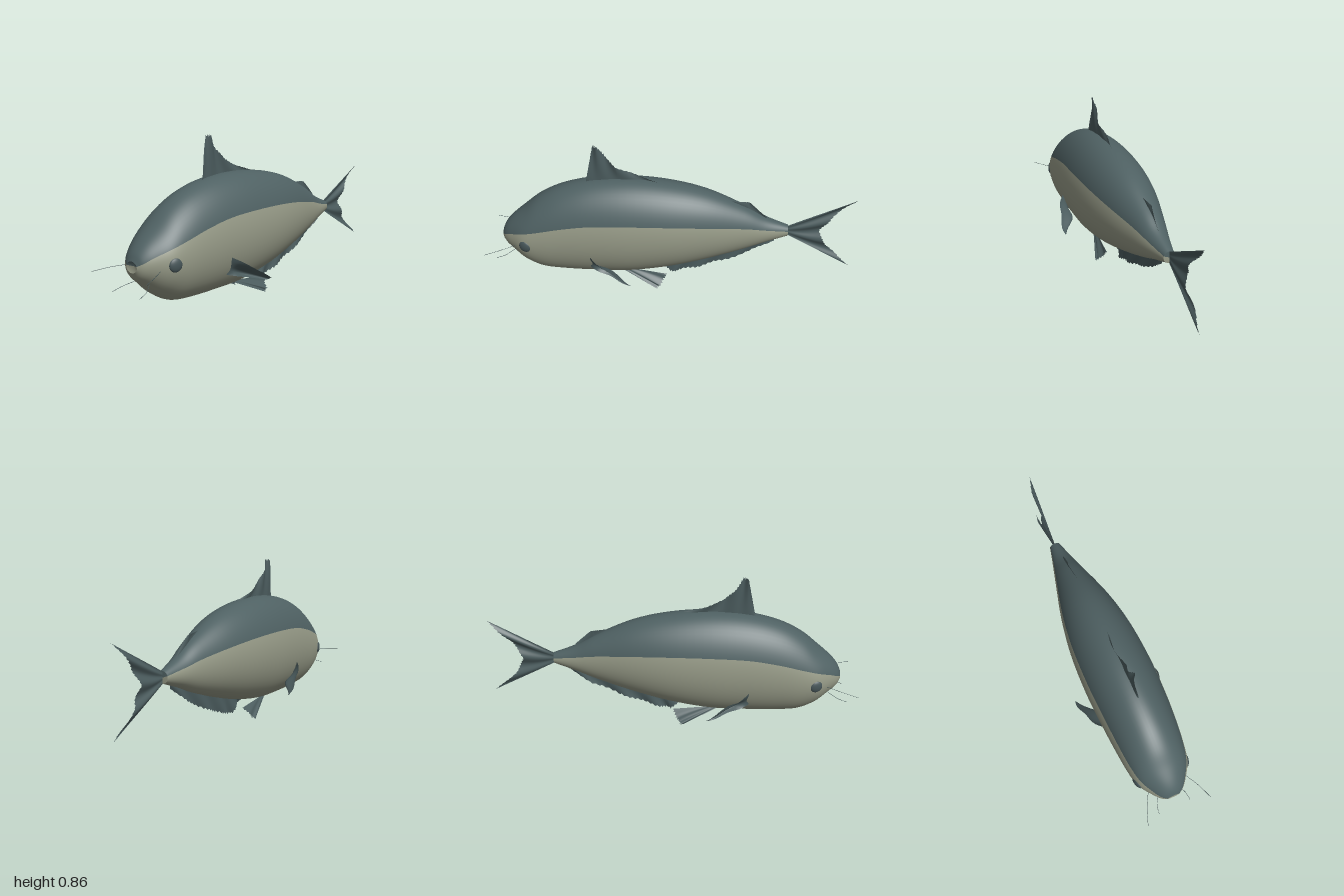
import * as THREE from 'three';

const flat = (name, color) => {
  const m = new THREE.MeshStandardMaterial({ color });
  m.name = name;
  return m;
};
const V = (x, y, z = 0) => new THREE.Vector3(x, y, z);

// Indexed surface from a point function on a rows x cols grid
function grid(rows, cols, point) {
  const pos = [], idx = [];
  for (let i = 0; i <= rows; i++) {
    for (let j = 0; j <= cols; j++) pos.push(...point(i / rows, j / cols, i, j).toArray());
  }
  for (let i = 0; i < rows; i++) {
    for (let j = 0; j < cols; j++) {
      const a = i * (cols + 1) + j, b = a + cols + 1;
      idx.push(a, b, a + 1, b, b + 1, a + 1);
    }
  }
  const g = new THREE.BufferGeometry();
  g.setAttribute('position', new THREE.Float32BufferAttribute(pos, 3));
  g.setIndex(idx);
  g.computeVertexNormals();
  return g;
}

// Straight-sided path through points, equal t per segment
function along(pts, t) {
  const f = t * (pts.length - 1), i = Math.min(Math.floor(f), pts.length - 2);
  return pts[i].clone().lerp(pts[i + 1], f - i);
}

// Body stations: x, top, bottom, colour line height, half width
const STATIONS = [
  [-0.92, 0.33, 0.275, 0.31, 0.035], [-0.9, 0.37, 0.24, 0.325, 0.065],
  [-0.86, 0.415, 0.205, 0.35, 0.1], [-0.79, 0.475, 0.145, 0.38, 0.145],
  [-0.7, 0.55, 0.097, 0.41, 0.165], [-0.58, 0.612, 0.083, 0.445, 0.178],
  [-0.42, 0.653, 0.08, 0.475, 0.189], [-0.22, 0.667, 0.085, 0.485, 0.194],
  [0, 0.648, 0.122, 0.48, 0.182], [0.2, 0.6, 0.175, 0.46, 0.148],
  [0.4, 0.51, 0.24, 0.425, 0.095], [0.52, 0.44, 0.288, 0.395, 0.062],
  [0.64, 0.392, 0.33, 0.37, 0.03],
];

function bodyGeometry() {
  const outline = new THREE.CatmullRomCurve3(STATIONS.map(s => V(s[0], s[1], s[2])), false, 'catmullrom');
  const sides = new THREE.CatmullRomCurve3(STATIONS.map(s => V(s[3], s[4])), false, 'catmullrom');
  const rows = 60, U = 12, L = 16, N = 2 * (U + L);
  const pos = [], back = [], belly = [];
  for (let i = 0; i <= rows; i++) {
    const o = outline.getPoint(i / rows), s = sides.getPoint(i / rows);
    const mid = (o.y + o.z) / 2, h = (o.y - o.z) / 2;
    const seam = Math.acos(THREE.MathUtils.clamp((s.x - mid) / h, -0.95, 0.95));
    for (let k = 0; k < N; k++) {
      const m = k <= U + L ? k : N - k;
      const a = m <= U ? seam * m / U : seam + (Math.PI - seam) * (m - U) / L;
      const side = k <= U + L ? 1 : -1;
      pos.push(o.x, mid + h * Math.cos(a), side * s.y * Math.sin(a));
    }
  }
  const upper = k => k < U || k >= N - U;
  for (let i = 0; i < rows; i++) {
    for (let k = 0; k < N; k++) {
      const n = (k + 1) % N, a = i * N + k, b = i * N + n, c = a + N, d = b + N;
      (upper(k) ? back : belly).push(a, b, c, b, d, c);
    }
  }
  // end caps: dented mouth and tail root
  [[0, -0.905, 0.305], [rows, 0.642, 0.36]].forEach(([row, x, y], e) => {
    const start = pos.length / 3;
    for (let k = 0; k < N; k++) pos.push(...pos.slice((row * N + k) * 3, (row * N + k) * 3 + 3));
    pos.push(x, y, 0);
    for (let k = 0; k < N; k++) {
      const a = start + k, b = start + (k + 1) % N;
      (upper(k) ? back : belly).push(start + N, ...(e ? [a, b] : [b, a]));
    }
  });
  const g = new THREE.BufferGeometry();
  g.setAttribute('position', new THREE.Float32BufferAttribute(pos, 3));
  g.setIndex([...back, ...belly]);
  g.addGroup(0, back.length, 0);
  g.addGroup(back.length, belly.length, 1);
  g.computeVertexNormals();
  return g;
}

// Fin membrane stretched from a base line to a ragged, rippled outer edge
function finGeometry(base, edge, { ripple = 0.008, waves = 3, ragged = 0.05, cols = 48 } = {}) {
  return grid(8, cols, (v, t, i, j) => {
    const reach = v * (1 - (j % 2) * ragged * v);
    const p = along(base, t).lerp(along(edge, t), reach);
    p.z += ripple * v * Math.sin(t * waves * Math.PI * 2 + v * 2);
    return p;
  });
}

export function createModel() {
  const fish = new THREE.Group();
  fish.name = 'fish';
  const backMat = flat('slate back', 0x4f6163);
  const bellyMat = flat('pale belly', 0x969a87);
  const finMat = flat('fin slate', 0x4b5c5e);
  finMat.side = THREE.DoubleSide;
  const eyeMat = flat('eye slate', 0x465558);

  const add = (name, geo, mat) => {
    const m = new THREE.Mesh(geo, mat);
    m.name = name;
    fish.add(m);
    return m;
  };

  add('body', bodyGeometry(), [backMat, bellyMat]);

  // Fins on the centre line
  add('dorsalFin', finGeometry(
    [V(-0.45, 0.63), V(-0.42, 0.64), V(-0.38, 0.64), V(-0.33, 0.645), V(-0.27, 0.65), V(-0.18, 0.65), V(-0.06, 0.645)],
    [V(-0.445, 0.65), V(-0.4, 0.868), V(-0.375, 0.868), V(-0.335, 0.8), V(-0.28, 0.74), V(-0.18, 0.695), V(-0.06, 0.655)]),
  finMat);
  add('rearDorsalFin', finGeometry(
    [V(0.33, 0.53), V(0.41, 0.49), V(0.44, 0.475), V(0.52, 0.43)],
    [V(0.33, 0.545), V(0.415, 0.538), V(0.43, 0.535), V(0.52, 0.448)], { ripple: 0.005, waves: 1 }), finMat);
  add('analFin', finGeometry(
    [V(-0.07, 0.12), V(0.02, 0.14), V(0.08, 0.155), V(0.18, 0.185), V(0.3, 0.22), V(0.44, 0.27), V(0.58, 0.32)],
    [V(-0.065, 0.105), V(0, 0.04), V(0.06, 0.05), V(0.17, 0.085), V(0.29, 0.13), V(0.44, 0.2), V(0.57, 0.29)],
    { ragged: 0.1, waves: 4 }), finMat);
  add('tailFin', finGeometry(
    [V(0.63, 0.385), V(0.63, 0.37), V(0.63, 0.36), V(0.63, 0.35), V(0.63, 0.335)],
    [V(1, 0.578), V(0.875, 0.455), V(0.815, 0.355), V(0.86, 0.26), V(1, 0.13)],
    { ripple: 0.01, ragged: 0.035 }), finMat);

  // Paired parts: s is +1 on the front-facing flank, -1 on the other
  for (const s of [1, -1]) {
    const side = s > 0 ? 'near' : 'far';

    const pectoral = grid(12, 8, (u, v) => {
      const p = V(-0.43, 0.28, 0.175).lerp(V(-0.43, 0.185, 0.145), v)
        .lerp(V(-0.195, 0.135, 0.242).lerp(V(-0.215, 0.128, 0.228), v), u);
      p.z += 0.028 * Math.sin(u * Math.PI) * Math.cos(v * 5) + 0.008 * Math.sin(u * 9);
      p.z *= s;
      return p;
    });
    add(side + 'PectoralFin', pectoral, finMat);

    add(side + 'PelvicFin', finGeometry(
      [V(-0.27, 0.095, 0.05 * s), V(-0.22, 0.098, 0.05 * s)],
      [V(-0.065, 0.003, 0.11 * s), V(-0.045, 0.02, 0.1 * s), V(-0.01, 0.075, 0.06 * s)],
      { ripple: 0.005, waves: 2, cols: 20 }), finMat);

    const eye = add(side + 'Eye', new THREE.SphereGeometry(0.034, 20, 14), eyeMat);
    eye.scale.z = 0.4;
    eye.position.set(-0.78, 0.307, 0.143 * s);
    eye.rotation.y = -0.3 * s;

    // Thin whiskers beside the mouth
    const whiskers = [
      [V(-0.83, 0.285, 0.1), V(-0.91, 0.28, 0.145), V(-1, 0.27, 0.182)],
      [V(-0.86, 0.215, 0.05), V(-0.91, 0.195, 0.082), V(-0.96, 0.18, 0.092)],
    ];
    whiskers.forEach((pts, i) => {
      const path = new THREE.CatmullRomCurve3(pts.map(p => V(p.x, p.y, p.z * s)));
      add(side + (i ? 'LowerWhisker' : 'UpperWhisker'), new THREE.TubeGeometry(path, 10, 0.0012, 5), finMat);
    });
  }
  return fish;
}
